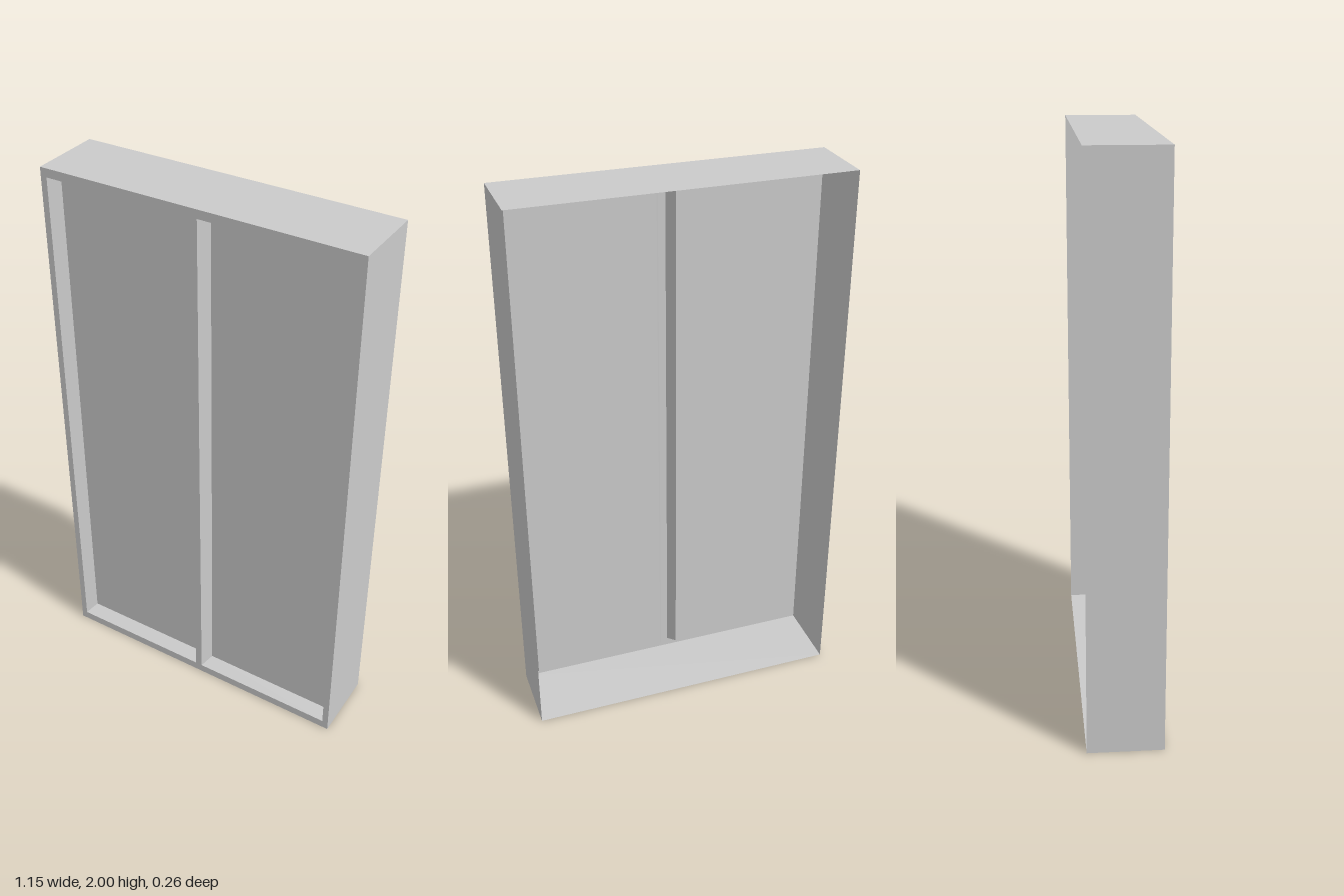
import * as THREE from 'three';

const W = 0.576, H = 2, FRONT = 0.132, BACK = -0.132;
const GLASS_Z = 0.084, BEVEL = 0.02;

const material = new THREE.MeshStandardMaterial({
  color: 0xcccccc, flatShading: true, side: THREE.DoubleSide,
});

function addMesh(parent, name, geometry) {
  const mesh = new THREE.Mesh(geometry, material);
  mesh.name = name;
  parent.add(mesh);
  return mesh;
}

// Corners of a rectangle, counter-clockwise seen from the front
const corners = ({ x0, x1, y0, y1 }) => [[x0, y0], [x1, y0], [x1, y1], [x0, y1]];
const inset = (r, d) => ({ x0: r.x0 + d, x1: r.x1 - d, y0: r.y0 + d, y1: r.y1 - d });

// Four-sided sleeve from rectangle a at depth za to rectangle b at depth zb
function sleeve(a, za, b, zb) {
  const pa = corners(a), pb = corners(b), pos = [];
  for (let i = 0; i < 4; i++) {
    const j = (i + 1) % 4;
    const A = [...pa[i], za], B = [...pa[j], za], C = [...pb[j], zb], D = [...pb[i], zb];
    pos.push(...A, ...B, ...C, ...A, ...C, ...D);
  }
  const g = new THREE.BufferGeometry();
  g.setAttribute('position', new THREE.Float32BufferAttribute(pos, 3));
  g.computeVertexNormals();
  return g;
}

const toPoints = (r) => corners(r).map(([x, y]) => new THREE.Vector2(x, y));

export function createModel() {
  const model = new THREE.Group();
  model.name = 'window';

  const outer = { x0: -W, x1: W, y0: 0, y1: H };
  const openings = [
    { side: 'right', x0: -0.553, x1: -0.013, y0: 0.032, y1: 1.969 },
    { side: 'left', x0: 0.013, x1: 0.553, y0: 0.032, y1: 1.969 },
  ];

  // Thin surround, open at the back
  addMesh(model, 'surround', sleeve(outer, BACK, outer, FRONT));

  // Front frame face with two openings and a central mullion
  const face = new THREE.Shape(toPoints(outer));
  for (const o of openings) face.holes.push(new THREE.Path(toPoints(o).reverse()));
  addMesh(model, 'frontFrame', new THREE.ShapeGeometry(face)).position.z = FRONT;

  // Each pane sits behind a sloping reveal
  for (const o of openings) {
    const pane = inset(o, BEVEL);
    const group = new THREE.Group();
    group.name = `${o.side}Window`;
    addMesh(group, `${o.side}Reveal`, sleeve(pane, GLASS_Z, o, FRONT).scale(1, 1, 1));
    const glass = new THREE.PlaneGeometry(pane.x1 - pane.x0, pane.y1 - pane.y0);
    addMesh(group, `${o.side}Pane`, glass)
      .position.set((pane.x0 + pane.x1) / 2, (pane.y0 + pane.y1) / 2, GLASS_Z);
    model.add(group);
  }

  return model;
}
